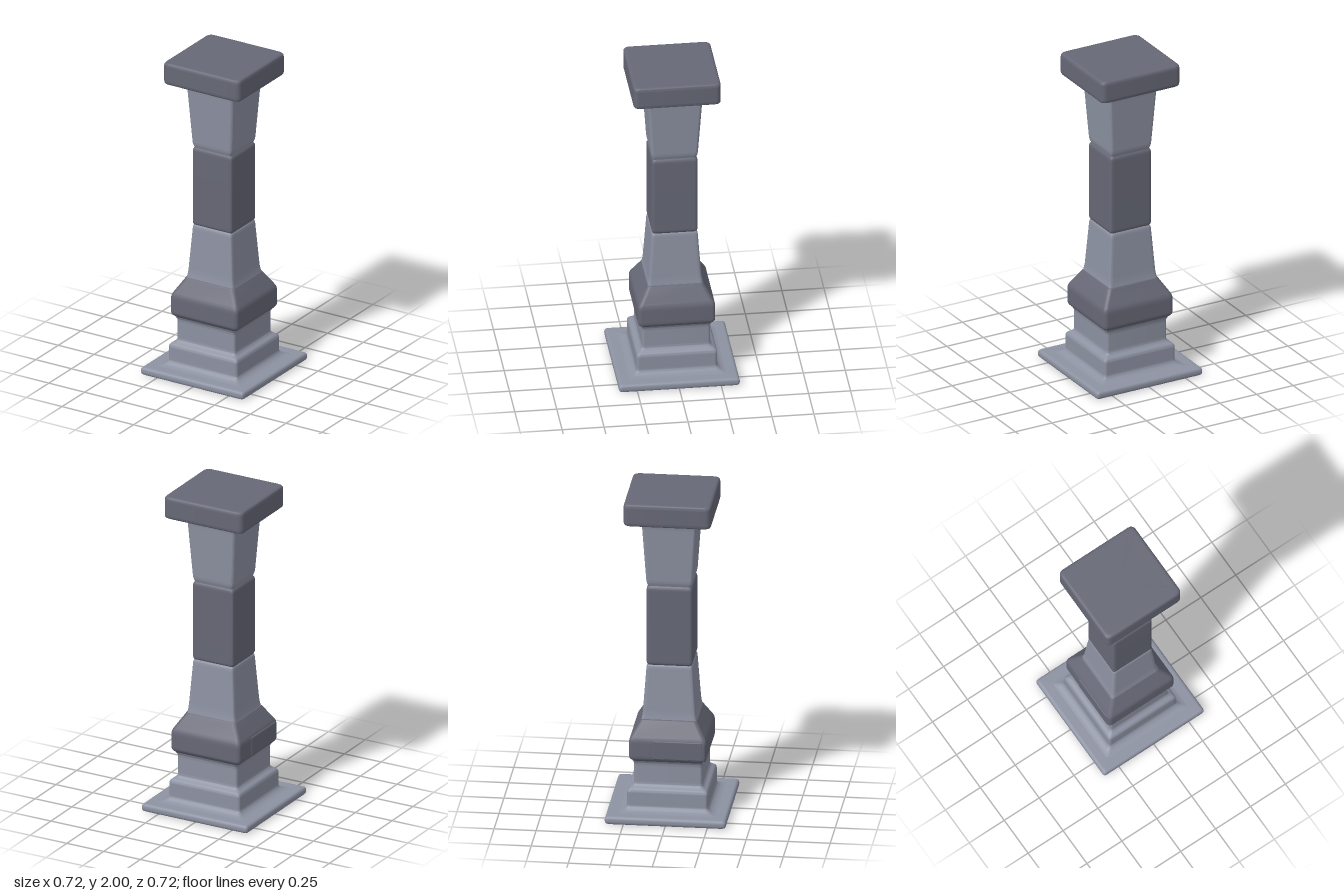
import * as THREE from 'three';
import { toCreasedNormals } from 'three/addons/utils/BufferGeometryUtils.js';
import { RoundedBoxGeometry } from 'three/addons/geometries/RoundedBoxGeometry.js';

const light = new THREE.MeshStandardMaterial({ color: 0x8d92a2 });
const dark = new THREE.MeshStandardMaterial({ color: 0x666876 });

// Rounds the corners of a profile given as [halfWidth, y, radius],
// with a support point on either side to keep the long faces flat
function roundProfile(points) {
  const out = [];
  points.forEach(([h, y, r], i) => {
    const p = new THREE.Vector2(h, y);
    if (!r) { out.push(p); return; }
    const towards = ([a, b], distance, limit) => {
      const d = new THREE.Vector2(a, b).sub(p);
      return d.setLength(Math.min(distance, d.length() * limit)).add(p);
    };
    const [before, after] = [points[i - 1], points[i + 1]];
    const curve = new THREE.QuadraticBezierCurve(towards(before, r, 0.44), p, towards(after, r, 0.44));
    out.push(towards(before, r + 0.006, 0.48), ...curve.getPoints(4), towards(after, r + 0.006, 0.48));
  });
  return out;
}

// Square rings with rounded corners, stacked from bottom to top
function squareLoft(name, material, points, corner, depth = 1) {
  const steps = 4;
  const ring = 4 * (steps + 3);
  const rows = roundProfile(points);
  const positions = [];
  const index = [];
  rows.forEach(({ x: half, y }, i) => {
    const r = Math.min(corner, half);
    const support = Math.min(0.006, half / 4);
    for (let q = 0; q < 4; q++) {
      const mid = (q + 0.5) * Math.PI / 2;
      const cx = Math.sign(Math.cos(mid)) * (half - r);
      const cz = Math.sign(Math.sin(mid)) * (half - r);
      for (let s = -1; s <= steps + 1; s++) {
        const t = THREE.MathUtils.clamp(s, 0, steps);
        const a = (q + t / steps) * Math.PI / 2;
        const shift = (s - t) * support;
        const x = cx + r * Math.cos(a) - shift * Math.sin(a);
        const z = cz + r * Math.sin(a) + shift * Math.cos(a);
        positions.push(x, y, z * depth);
      }
    }
    if (i === rows.length - 1) return;
    for (let j = 0; j < ring; j++) {
      const a = i * ring + j;
      const b = i * ring + (j + 1) % ring;
      if (half > 0) index.push(a, a + ring, b);
      if (rows[i + 1].x > 0) index.push(b, a + ring, b + ring);
    }
  });
  const geometry = new THREE.BufferGeometry();
  geometry.setAttribute('position', new THREE.Float32BufferAttribute(positions, 3));
  geometry.setIndex(index);
  const mesh = new THREE.Mesh(toCreasedNormals(geometry, 0.6), material);
  mesh.name = name;
  return mesh;
}

export function createModel() {
  const group = new THREE.Group();
  group.name = 'pillar';

  // Foot slab and stepped plinth
  group.add(squareLoft('baseSlab', light, [
    [0, 0], [0.36, 0, 0.022], [0.36, 0.05, 0.022], [0, 0.05],
  ], 0.015));
  group.add(squareLoft('plinth', light, [
    [0.292, 0.049], [0.262, 0.056, 0.015], [0.24, 0.075, 0.012], [0.24, 0.18, 0.015],
    [0.203, 0.205, 0.015], [0.203, 0.34, 0.01], [0.215, 0.36],
  ], 0.015));

  // Swelling collar with a shallow panel on its right side
  group.add(squareLoft('collar', dark, [
    [0, 0.35], [0.205, 0.35, 0.01], [0.235, 0.375, 0.015], [0.235, 0.495, 0.02],
    [0.168, 0.605, 0.006], [0, 0.605],
  ], 0.022, 0.98));
  const panel = new THREE.Mesh(new RoundedBoxGeometry(0.02, 0.115, 0.29, 2, 0.006), dark);
  panel.name = 'collarPanel';
  panel.position.set(-0.228, 0.437, 0.06);
  group.add(panel);

  // Tapered shaft in three sections, with grooves at the joints
  group.add(squareLoft('lowerShaft', light, [
    [0.165, 0.595], [0.157, 0.64, 0.02], [0.137, 0.93, 0.015], [0.128, 0.945],
  ], 0.015));
  group.add(squareLoft('middleShaft', dark, [
    [0, 0.937], [0.13, 0.937], [0.139, 0.95, 0.012], [0.139, 1.425, 0.012],
    [0.128, 1.44], [0, 1.44],
  ], 0.015, 0.98));
  group.add(squareLoft('upperShaft', light, [
    [0.128, 1.435], [0.138, 1.462, 0.015], [0.162, 1.83, 0.025], [0.185, 1.865],
  ], 0.015));

  // Square cap
  group.add(squareLoft('cap', dark, [
    [0, 1.86], [0.268, 1.86, 0.02], [0.268, 2, 0.02], [0, 2],
  ], 0.032, 0.97));

  return group;
}
